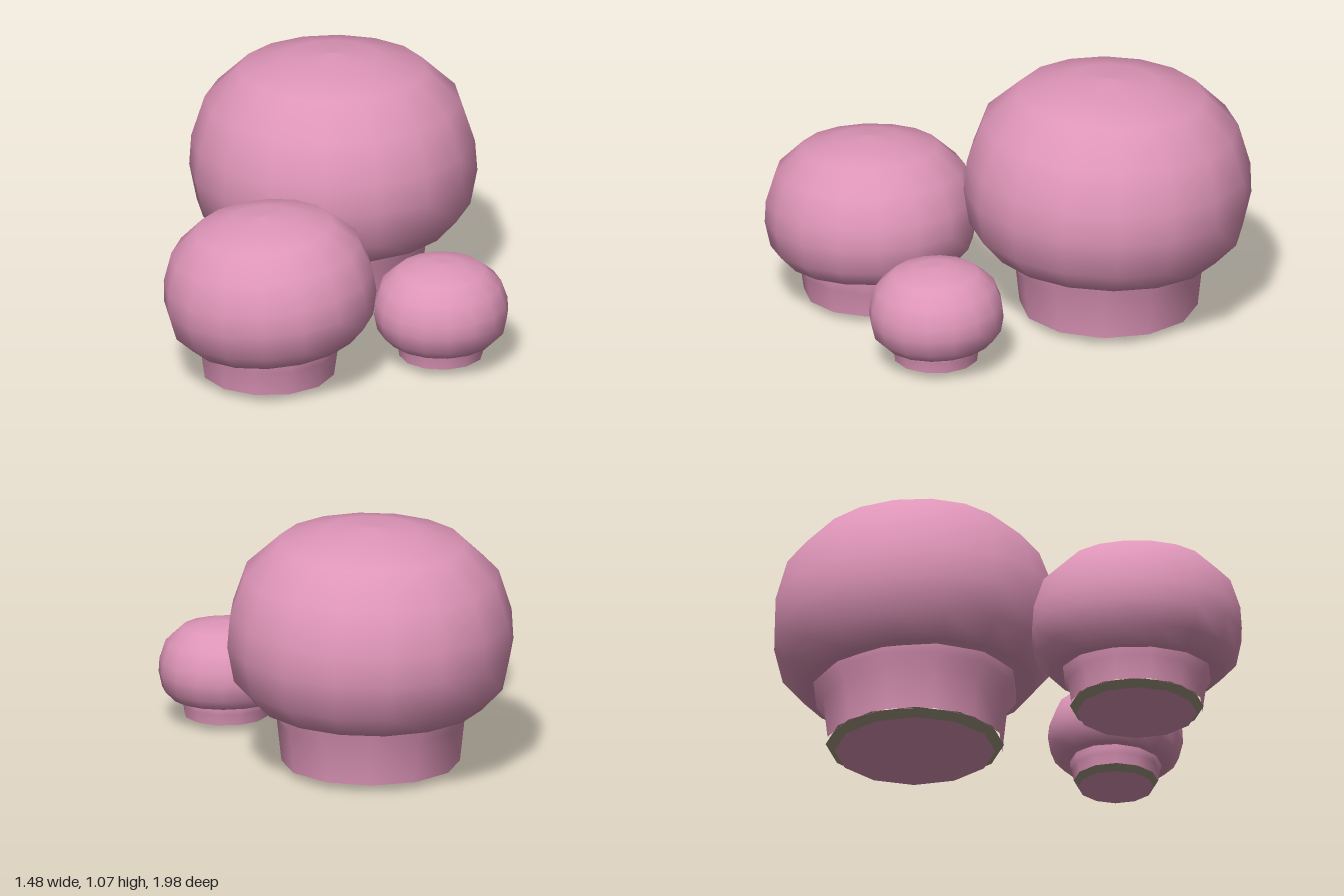
import * as THREE from 'three';

const pink = new THREE.MeshStandardMaterial({ color: 0xde95b8 });
pink.name = 'pink';
const olive = new THREE.MeshStandardMaterial({ color: 0xa89f88 });
olive.name = 'paleOlive';

// Unit cap outline: radius 1, height 1, running from the underside to the crown
const CAP = [[0.5, 0.03], [0.8, 0], [0.95, 0.13], [1, 0.33], [0.985, 0.5],
  [0.89, 0.73], [0.65, 0.91], [0.33, 0.975], [0, 1]];

function part(name, geometry, material, parent) {
  const mesh = new THREE.Mesh(geometry, material);
  mesh.name = name;
  parent.add(mesh);
  return mesh;
}

function lathe(points, sides, phase) {
  return new THREE.LatheGeometry(points.map(([r, y]) => new THREE.Vector2(r, y)), sides, phase);
}

function bulb({ name, x, z, radius, base, height, tiltX, tiltZ, phase, foot, neck, flare }) {
  const group = new THREE.Group();
  group.name = name;
  group.position.set(x, 0, z);

  // Rounded cap, leaning slightly about its middle
  const cap = part('cap', lathe(
    CAP.map(([r, y]) => [r * radius, (y - 0.5) * height]), 16, phase), pink, group);
  cap.position.y = base + height / 2;
  cap.rotation.set(tiltX, 0, tiltZ);

  // Stem widening under the cap
  part('stem', lathe([[foot, 0.03], [neck, base * 0.72], [flare, base * 0.9],
    [flare, base + 0.06]], 12, phase), pink, group);

  // Stem underside and the smaller ground disc beneath it
  const underside = part('stemUnderside', new THREE.CircleGeometry(foot, 12), olive, group);
  underside.rotation.x = Math.PI / 2;
  underside.position.y = 0.031;
  const disc = part('groundDisc', new THREE.CircleGeometry(foot * 0.9, 12), pink, group);
  disc.rotation.x = Math.PI / 2;
  return group;
}

export function createModel() {
  const model = new THREE.Group();
  model.name = 'bulbCluster';
  const step = Math.PI / 16;
  model.add(
    bulb({ name: 'largeBulb', x: 0.1, z: -0.395, radius: 0.615, base: 0.295, height: 0.775,
      tiltX: -0.04, tiltZ: 0, phase: step, foot: 0.38, neck: 0.4, flare: 0.44 }),
    bulb({ name: 'mediumBulb', x: -0.297, z: 0.546, radius: 0.455, base: 0.19, height: 0.55,
      tiltX: 0, tiltZ: 0.085, phase: step, foot: 0.285, neck: 0.3, flare: 0.32 }),
    bulb({ name: 'smallBulb', x: 0.455, z: 0.465, radius: 0.288, base: 0.108, height: 0.34,
      tiltX: 0.04, tiltZ: 0, phase: 0, foot: 0.18, neck: 0.187, flare: 0.195 })
  );
  return model;
}
